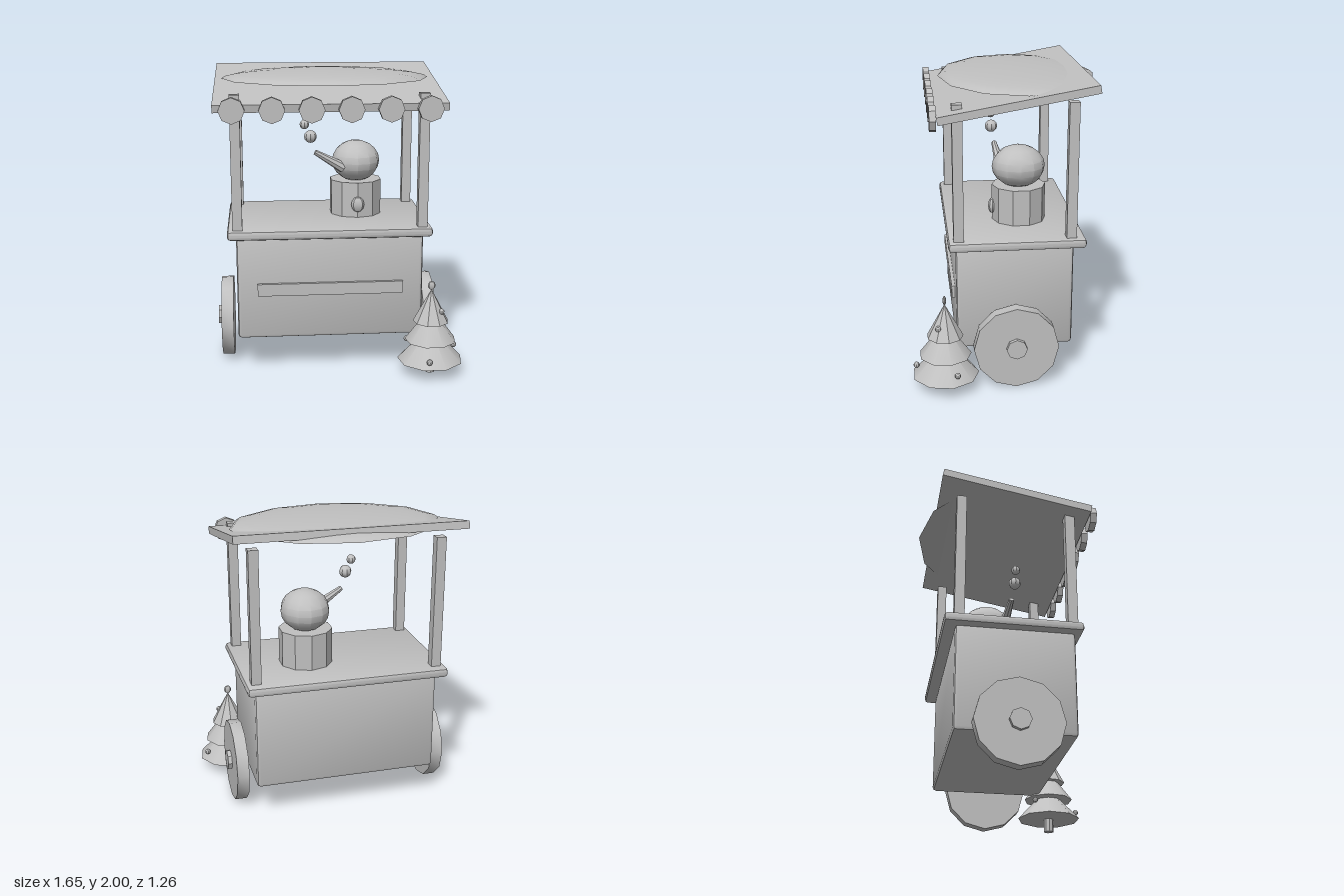
import * as THREE from 'three';
import { toCreasedNormals } from 'three/addons/utils/BufferGeometryUtils.js';
import { RoundedBoxGeometry } from 'three/addons/geometries/RoundedBoxGeometry.js';

export function createModel() {
  const model = new THREE.Group();
  model.name = 'vendorCart';
  const grey = new THREE.MeshStandardMaterial({ color: 0xc0c0c0 });
  grey.name = 'plain grey';

  // Shallow angles stay smooth, strong edges stay sharp
  function add(name, geometry, x, y, z, parent = model) {
    const mesh = new THREE.Mesh(toCreasedNormals(geometry, 0.57), grey);
    mesh.name = name;
    mesh.position.set(x, y, z);
    parent.add(mesh);
    return mesh;
  }
  const box = (w, h, d) => new THREE.BoxGeometry(w, h, d);
  const ball = (rx, ry, rz, w = 8, h = 6) => new THREE.SphereGeometry(1, w, h).scale(rx, ry, rz);
  const disc = (r, depth, sides) => new THREE.CylinderGeometry(r, r, depth, sides);
  const midX = -0.065;

  // Cart body, counter and front panel
  add('cartBody', new RoundedBoxGeometry(1.24, 0.7, 0.764, 1, 0.025), midX, 0.59, -0.042);
  add('counter', new RoundedBoxGeometry(1.355, 0.065, 0.886, 1, 0.025), midX, 0.963, -0.056);
  add('frontPanel', box(0.968, 0.082, 0.04), -0.066, 0.585, 0.342);

  // Wheels and hubs
  for (const side of [-1, 1]) {
    const name = side > 0 ? 'left' : 'right';
    add(name + 'Wheel', disc(0.278, 0.082, 12).rotateZ(Math.PI / 2), midX + side * 0.694, 0.278, -0.042);
    add(name + 'Hub', disc(0.068, 0.04, 8).rotateZ(Math.PI / 2), midX + side * 0.742, 0.28, -0.042);
  }

  // Four posts
  for (const x of [-0.674, 0.545])
    for (const z of [0.32, -0.403]) add('post', box(0.065, 0.89, 0.065), x, 1.433, z);

  // Sloping roof with a shallow dome on it
  add('roof', box(1.495, 0.05, 1.0), -0.064, 1.889, -0.047).rotation.x = 0.175;
  const cap = new THREE.SphereGeometry(1, 12, 6, 0, Math.PI * 2, 0, Math.PI / 2).scale(0.7, 0.064, 0.522);
  add('roofDome', cap, -0.066, 1.934, -0.113);
  const base = new THREE.CircleGeometry(1, 12).rotateX(Math.PI / 2).scale(0.7, 1, 0.522);
  add('roofDomeBase', base, -0.066, 1.934, -0.113);

  // Scalloped edge
  for (let i = 0; i < 6; i++)
    add('scallop', disc(0.083, 0.042, 8).rotateX(Math.PI / 2), -0.69 + i * 0.25, 1.795, 0.469);

  // Vendor figure
  const vendor = new THREE.Group();
  vendor.name = 'vendor';
  model.add(vendor);
  add('torso', disc(0.18, 0.25, 10), 0.143, 1.111, -0.111, vendor);
  add('head', ball(0.165, 0.142, 0.178, 12, 10), 0.145, 1.362, -0.109, vendor);
  add('chestBadge', ball(0.045, 0.054, 0.027), 0.143, 1.087, 0.067, vendor);

  // Tapered spout reaching out of the head, with puffs above its tip
  const from = new THREE.Vector3(0.05, 1.332, 0);
  const to = new THREE.Vector3(-0.145, 1.447, 0.025);
  const along = to.clone().sub(from);
  const spout = add('spout', new THREE.CylinderGeometry(0.018, 0.038, along.length(), 8), 0, 0, 0, vendor);
  spout.position.copy(from).lerp(to, 0.5);
  spout.quaternion.setFromUnitVectors(new THREE.Vector3(0, 1, 0), along.normalize());
  add('largePuff', ball(0.043, 0.043, 0.043), -0.177, 1.557, 0.042, vendor);
  add('smallPuff', ball(0.032, 0.032, 0.032), -0.217, 1.639, 0.042, vendor);

  // Small decorated tree
  const tree = new THREE.Group();
  tree.name = 'tree';
  tree.position.set(0.602, 0, 0.42);
  model.add(tree);
  add('trunk', disc(0.034, 0.14, 8), 0, 0.07, 0, tree);
  for (const [r, y, h] of [[0.22, 0.09, 0.235], [0.172, 0.23, 0.23], [0.12, 0.36, 0.225]])
    add('treeTier', new THREE.ConeGeometry(r, h, 9).rotateY(Math.PI), 0, y + h / 2, 0, tree);
  add('treeTopper', ball(0.026, 0.03, 0.012), 0, 0.61, 0, tree);
  const ornaments = [
    [0.062, 0.44, 0.046], [-0.118, 0.32, -0.131], [-0.142, 0.19, -0.123],
    [0.175, 0.158, -0.07], [-0.036, 0.14, 0.19],
  ];
  for (const [x, y, z] of ornaments) add('ornament', ball(0.02, 0.02, 0.02), x, y, z, tree);

  return model;
}
